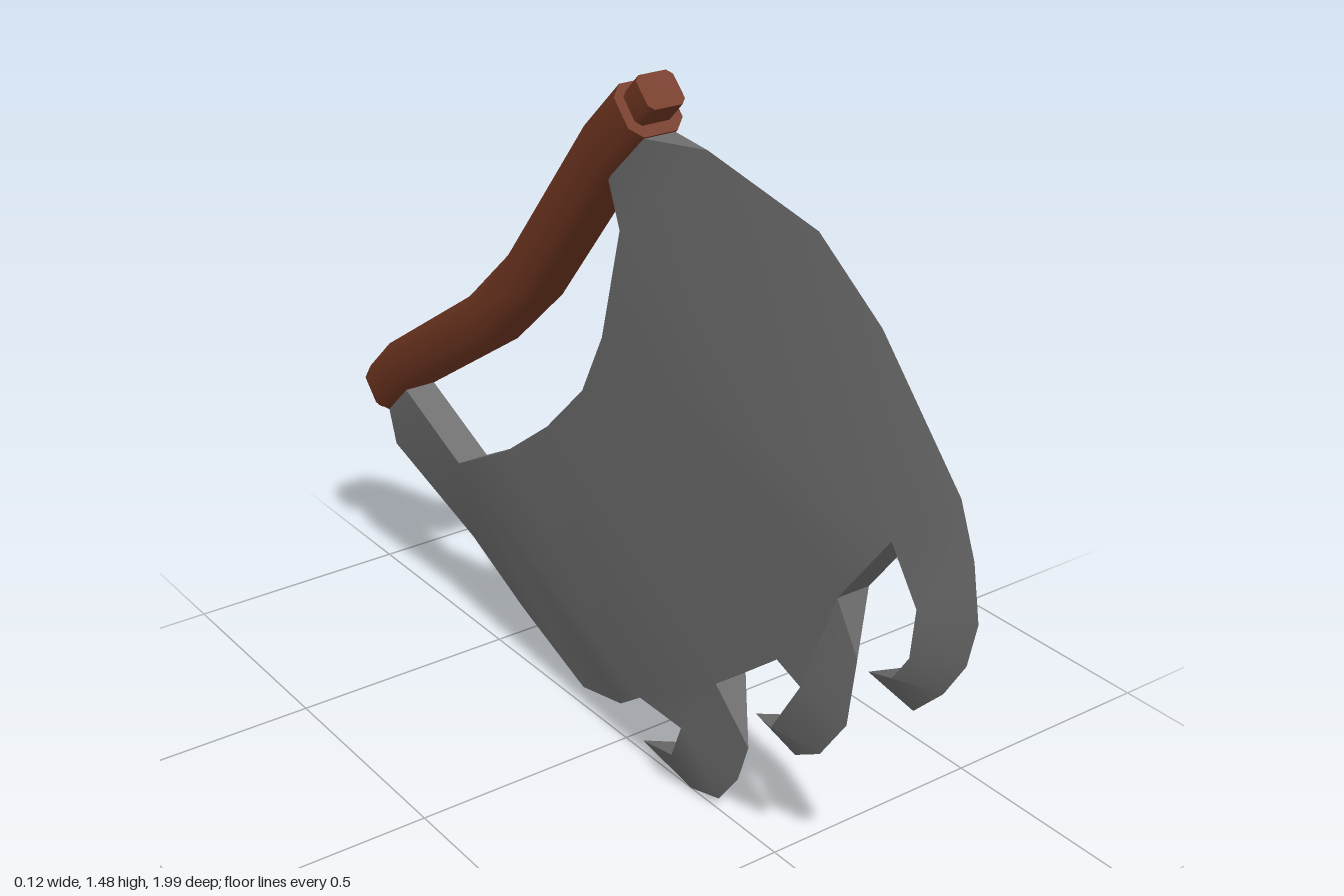
import * as THREE from 'three';
import { toCreasedNormals } from 'three/addons/utils/BufferGeometryUtils.js';

const steel = new THREE.MeshStandardMaterial({ color: 0x707070 });
steel.name = 'steel grey';
const wood = new THREE.MeshStandardMaterial({ color: 0x743823 });
wood.name = 'reddish brown';

function meshFrom(name, triangles, crease, material) {
  const geometry = new THREE.BufferGeometry();
  geometry.setAttribute('position', new THREE.Float32BufferAttribute(triangles.flat(2), 3));
  const mesh = new THREE.Mesh(toCreasedNormals(geometry, crease), material);
  mesh.name = name;
  return mesh;
}

// Blade outline as [z, y], run by run: thick edges are square, sharp edges taper to nothing
const T = 0.037;
const runs = [
  [T, [[0.10, 1.37]]],
  // crown and upper claw
  [0, [[0.25, 1.38], [0.56, 1.32], [0.73, 1.2], [0.94, 0.97], [0.98, 0.87], [1, 0.76],
    [0.98, 0.67], [0.93, 0.59], [0.86, 0.52], [0.74, 0.54]]],
  [T, [[0.84, 0.59], [0.88, 0.65], [0.89, 0.75], [0.82, 0.85], [0.69, 0.68]]],
  // middle claw
  [0, [[0.71, 0.55], [0.69, 0.4], [0.62, 0.3], [0.55, 0.26], [0.43, 0.29]]],
  [T, [[0.52, 0.32], [0.6, 0.45], [0.53, 0.475], [0.35, 0.33]]],
  // lower claw
  [0, [[0.41, 0.2], [0.38, 0.11], [0.32, 0.03], [0.23, 0.005], [0.06, 0.03]]],
  [T, [[0.21, 0.09], [0.24, 0.17], [0.1, 0.17]]],
  // lower edge
  [0, [[-0.02, 0.08], [-0.16, 0.05], [-0.4, 0.14], [-0.6, 0.23]]],
  // handle side
  [T, [[-0.87, 0.37], [-0.9, 0.46], [-0.84, 0.54], [-0.59, 0.43], [-0.39, 0.54], [-0.23, 0.66],
    [-0.1, 0.79], [-0.03, 0.93], [0.03, 1.17], [-0.01, 1.27], [0.03, 1.36]]],
];

// Triangle fans over the outline points, hub first
const fans = [
  [45, 46, 47, 0, 1, 2, 14, 44], [14, 2, 3, 4, 5, 13], [13, 5, 6, 7, 12], [12, 7, 8, 11],
  [11, 8, 9, 10], [44, 14, 15, 23, 24, 43], [15, 16, 22, 23], [22, 16, 17, 18, 21],
  [21, 18, 19, 20], [24, 25, 31, 32, 42, 43], [31, 25, 26, 27, 30], [30, 27, 28, 29],
  [32, 33, 40, 41, 42], [40, 33, 34, 35, 36, 37, 38, 39],
];

function makeBlade() {
  const outline = runs.flatMap(([half, points]) => points.map(([z, y]) => ({ half, y, z })));
  const at = (i, side) => [outline[i].half * side, outline[i].y, outline[i].z];
  const triangles = [];
  // two mirrored faces
  for (const [hub, ...rim] of fans) {
    for (let k = 0; k < rim.length - 1; k++) {
      triangles.push([at(hub, 1), at(rim[k], 1), at(rim[k + 1], 1)]);
      triangles.push([at(hub, -1), at(rim[k + 1], -1), at(rim[k], -1)]);
    }
  }
  // rim walls wherever the edge has thickness
  outline.forEach((p, i) => {
    const j = (i + 1) % outline.length;
    if (p.half > 0) triangles.push([at(j, 1), at(i, 1), at(i, -1)]);
    if (outline[j].half > 0) triangles.push([at(j, 1), at(i, -1), at(j, -1)]);
  });
  return meshFrom('blade', triangles, 0.5, steel);
}

// Chamfered bar swept along a [z, y] path
function makeBar(name, path, halfX, halfN, chamfer) {
  const cx = halfX - chamfer, cn = halfN - chamfer;
  const section = [[halfX, -cn], [halfX, cn], [cx, halfN], [-cx, halfN],
    [-halfX, cn], [-halfX, -cn], [-cx, -halfN], [cx, -halfN]];
  const rings = path.map(([z, y], i) => {
    const a = path[Math.max(i - 1, 0)], b = path[Math.min(i + 1, path.length - 1)];
    const length = Math.hypot(b[0] - a[0], b[1] - a[1]);
    const tz = (b[0] - a[0]) / length, ty = (b[1] - a[1]) / length;
    return section.map(([u, v]) => [u, y + v * tz, z - v * ty]);
  });
  const triangles = [], n = section.length, last = rings[rings.length - 1];
  for (let i = 0; i < rings.length - 1; i++) {
    for (let k = 0; k < n; k++) {
      const m = (k + 1) % n;
      triangles.push([rings[i][k], rings[i][m], rings[i + 1][m]]);
      triangles.push([rings[i][k], rings[i + 1][m], rings[i + 1][k]]);
    }
  }
  // end caps
  for (let k = 1; k < n - 1; k++) {
    triangles.push([rings[0][0], rings[0][k + 1], rings[0][k]]);
    triangles.push([last[0], last[k], last[k + 1]]);
  }
  return meshFrom(name, triangles, 0.9, wood);
}

export function createModel() {
  const model = new THREE.Group();
  model.name = 'clawedBlade';
  model.add(
    makeBlade(),
    makeBar('handle', [[0.07, 1.415], [-0.04, 1.31], [-0.32, 0.96], [-0.485, 0.81],
      [-0.845, 0.575], [-0.935, 0.49]], 0.062, 0.057, 0.024),
    makeBar('upperPeg', [[0.04, 1.39], [0.107, 1.457]], 0.042, 0.037, 0.011),
    makeBar('lowerPeg', [[-0.92, 0.505], [-0.974, 0.449]], 0.031, 0.029, 0.009),
  );
  return model;
}
